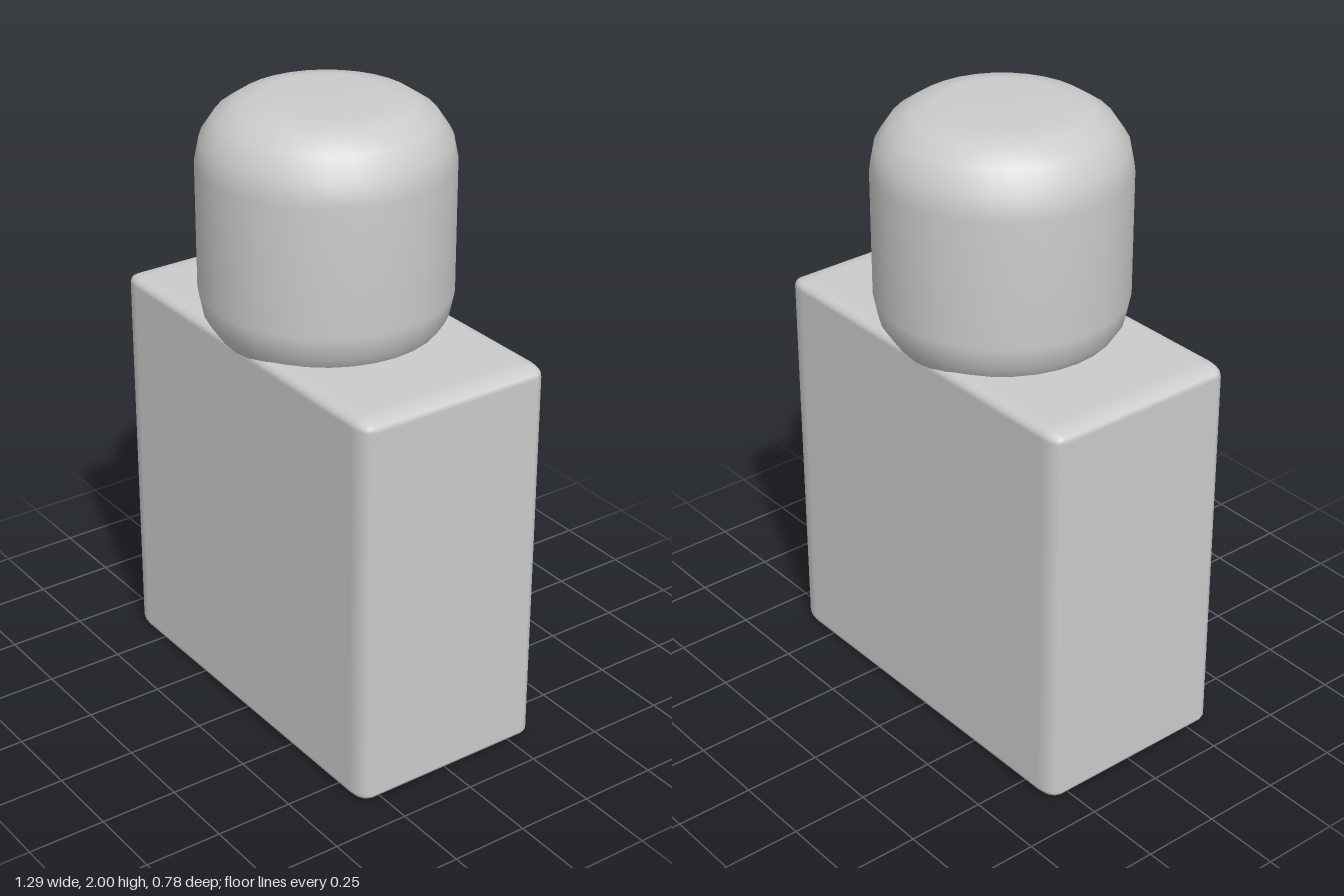
import * as THREE from 'three';
import { RoundedBoxGeometry } from 'three/addons/geometries/RoundedBoxGeometry.js';

const material = new THREE.MeshStandardMaterial({ color: 0xcccccc });

// Rounded box whose bevel differs per axis: shaped at unit scale, then stretched
function makeBody(size, bevel) {
  const r = 0.04;
  const s = bevel.map((b) => b / r);
  const geo = new RoundedBoxGeometry(size[0] / s[0], size[1] / s[1], size[2] / s[2], 2, r);
  geo.scale(...s);
  return geo;
}

// Upright cylinder with rounded rims
function makeHead(radius, bottom, top, rim) {
  const steps = 4;
  const profile = [new THREE.Vector2(0, bottom)];
  for (const end of [0, 1]) {
    for (let i = 0; i <= steps; i++) {
      const a = (Math.PI / 2) * (i / steps + end - 1);
      const centreY = end ? top - rim : bottom + rim;
      profile.push(new THREE.Vector2(radius - rim + rim * Math.cos(a), centreY + rim * Math.sin(a)));
    }
  }
  profile.push(new THREE.Vector2(0, top));
  return new THREE.LatheGeometry(profile, 32);
}

export function createModel() {
  const model = new THREE.Group();
  model.name = 'blockFigure';

  // Body block standing on the ground
  const height = 1.295;
  const body = new THREE.Mesh(makeBody([1.29, height, 0.66], [0.07, 0.03, 0.04]), material);
  body.name = 'body';
  body.position.y = height / 2;
  model.add(body);

  // Head, sunk slightly into the top of the body
  const head = new THREE.Mesh(makeHead(0.388, 1.21, 2, 0.195), material);
  head.name = 'head';
  head.position.x = -0.007;
  model.add(head);

  return model;
}
